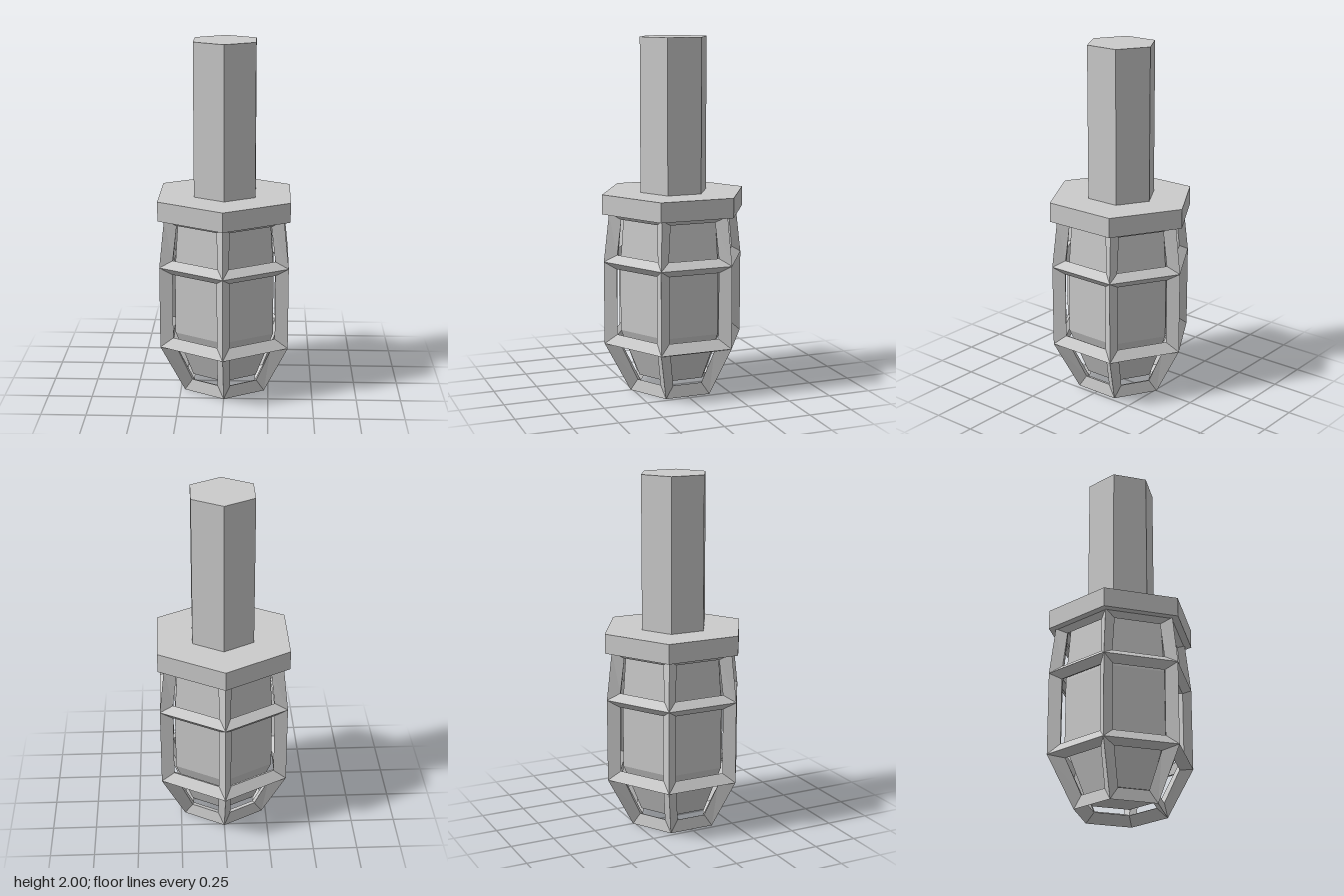
import * as THREE from 'three';

const SIDES = 6;
const STEP = (Math.PI * 2) / SIDES;

// cage rings from bottom to top, as [radius, height]
const OUTER = [[0.262, 0], [0.415, 0.29], [0.415, 0.76], [0.382, 1.035]];
const INNER = [[0.2, 0.05], [0.338, 0.33], [0.335, 0.735], [0.308, 1.035]];
// window edges per row, lower then upper, as [half width, height, distance from axis]
const WINDOWS = [
  [[0.085, 0.07, 0.218], [0.13, 0.267, 0.297]],
  [[0.145, 0.345, 0.32], [0.145, 0.72, 0.32]],
  [[0.147, 0.8, 0.315], [0.13, 1.0, 0.298]],
];

// point on a ring at a corner of the hexagon
function ringPoint([r, y], corner) {
  const a = corner * STEP;
  return new THREE.Vector3(r * Math.sin(a), y, r * Math.cos(a));
}

// point on the flat side, at sign times half width from its middle
function windowPoint([half, y, depth], side, sign) {
  return new THREE.Vector3(sign * half, y, depth)
    .applyAxisAngle(new THREE.Vector3(0, 1, 0), (side + 0.5) * STEP);
}

// bars with ridged outer and inner faces around three rows of open windows
function cageGeometry() {
  const pos = [];
  const quad = (a, b, c, d) => {
    for (const p of [a, b, c, a, c, d]) pos.push(p.x, p.y, p.z);
  };
  const corners = (rings, row, s) => [
    ringPoint(rings[row], s), ringPoint(rings[row], s + 1),
    ringPoint(rings[row + 1], s + 1), ringPoint(rings[row + 1], s),
  ];
  for (let s = 0; s < SIDES; s++) {
    WINDOWS.forEach(([low, high], row) => {
      const out = corners(OUTER, row, s);
      const inn = corners(INNER, row, s);
      const win = [
        windowPoint(low, s, -1), windowPoint(low, s, 1),
        windowPoint(high, s, 1), windowPoint(high, s, -1),
      ];
      for (let k = 0; k < 4; k++) {
        const n = (k + 1) % 4;
        quad(out[k], out[n], win[n], win[k]);
        quad(inn[n], inn[k], win[k], win[n]);
      }
    });
    // bottom and top rims
    const top = OUTER.length - 1;
    quad(ringPoint(INNER[0], s), ringPoint(INNER[0], s + 1),
      ringPoint(OUTER[0], s + 1), ringPoint(OUTER[0], s));
    quad(ringPoint(OUTER[top], s), ringPoint(OUTER[top], s + 1),
      ringPoint(INNER[top], s + 1), ringPoint(INNER[top], s));
  }
  const g = new THREE.BufferGeometry();
  g.setAttribute('position', new THREE.Float32BufferAttribute(pos, 3));
  g.computeVertexNormals();
  return g;
}

export function createModel() {
  const group = new THREE.Group();
  const material = new THREE.MeshStandardMaterial({ color: 0xcccccc, flatShading: true });

  const add = (name, geometry, y = 0) => {
    const mesh = new THREE.Mesh(geometry, material);
    mesh.name = name;
    mesh.position.y = y;
    group.add(mesh);
  };
  const prism = (name, r, y0, y1) =>
    add(name, new THREE.CylinderGeometry(r, r, y1 - y0, SIDES), (y0 + y1) / 2);

  // handle and collar
  prism('handle', 0.197, 1.14, 2);
  prism('collar', 0.422, 1.03, 1.14);

  // solid core inside the cage
  const profile = [[0, 0.085], [0.207, 0.085], [0.318, 0.36], [0.318, 0.73], [0.295, 1.035]]
    .map(([r, y]) => new THREE.Vector2(r, y));
  add('core', new THREE.LatheGeometry(profile, SIDES));

  add('cage', cageGeometry());
  return group;
}
